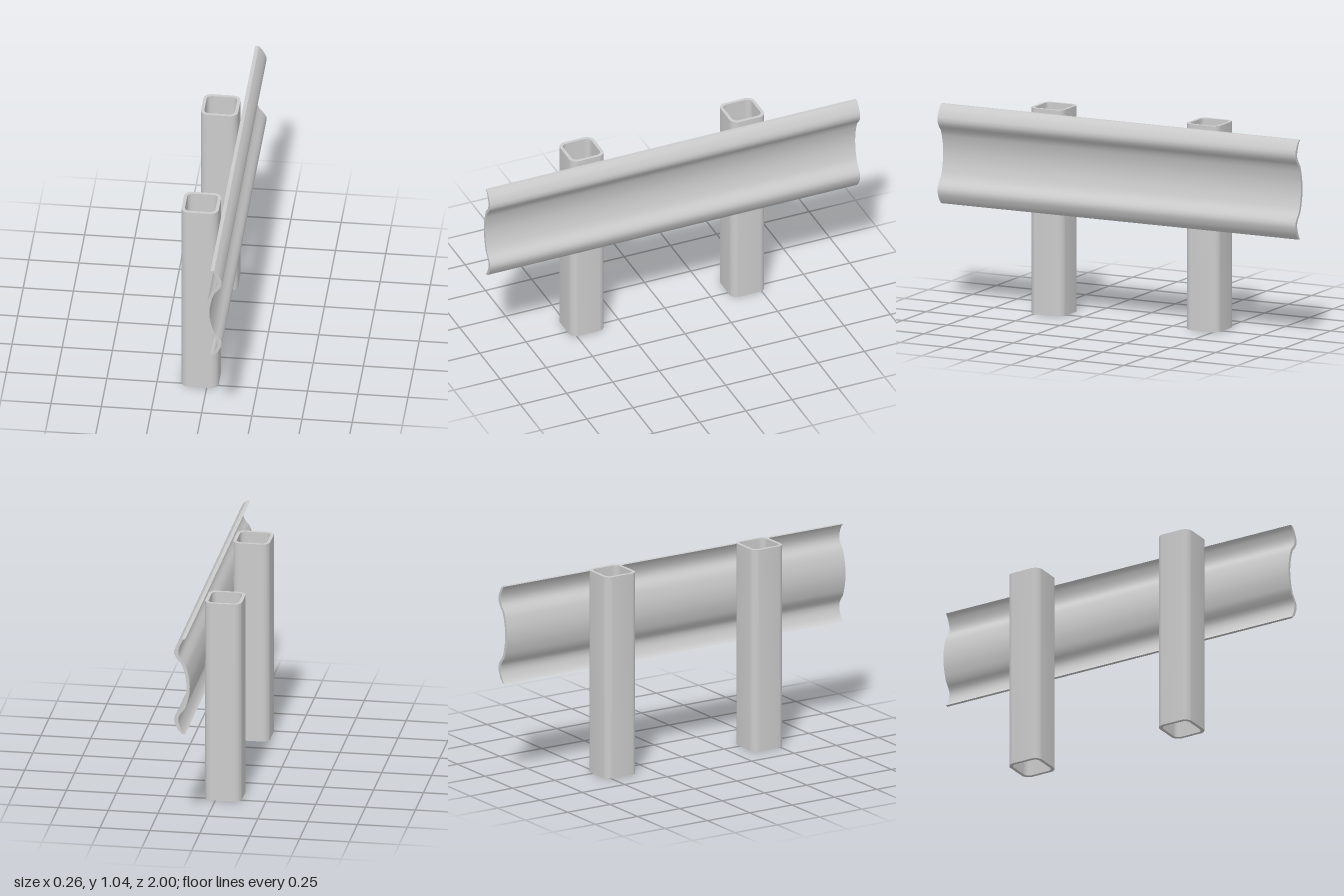
import * as THREE from 'three';
import { toCreasedNormals } from 'three/addons/utils/BufferGeometryUtils.js';

const material = new THREE.MeshStandardMaterial({ color: 0xcccccc });

// Rounded square outline centred on the origin
function roundedSquare(path, h, r) {
  path.moveTo(h, -h + r);
  path.lineTo(h, h - r);
  path.absarc(h - r, h - r, r, 0, Math.PI / 2);
  path.lineTo(-h + r, h);
  path.absarc(-h + r, h - r, r, Math.PI / 2, Math.PI);
  path.lineTo(-h, -h + r);
  path.absarc(-h + r, -h + r, r, Math.PI, Math.PI * 1.5);
  path.lineTo(h - r, -h);
  path.absarc(h - r, -h + r, r, Math.PI * 1.5, Math.PI * 2);
  return path;
}

function extrude(shape, depth) {
  const geometry = new THREE.ExtrudeGeometry(shape, { depth, bevelEnabled: false, curveSegments: 6 });
  return toCreasedNormals(geometry, 0.7);
}

// Hollow square tube standing on the ground
function postGeometry() {
  const shape = roundedSquare(new THREE.Shape(), 0.0925, 0.04);
  shape.holes.push(roundedSquare(new THREE.Path(), 0.076, 0.027));
  return extrude(shape, 1.04).rotateX(-Math.PI / 2);
}

// Upper half of a rail face, mirrored about its middle, listed top to bottom
function mirroredFace(half) {
  const upper = half.map(([x, y]) => new THREE.Vector2(x, y));
  const lower = half.slice(0, -1).reverse().map(([x, y]) => new THREE.Vector2(x, -y));
  return [...upper, ...lower];
}

// Corrugated W-section sheet running along z
function railGeometry() {
  const outer = mirroredFace([
    [0.09, 0.251], [0.11, 0.229], [0.12, 0.208], [0.128, 0.189], [0.128, 0.169], [0.12, 0.152],
    [0.109, 0.137], [0.092, 0.118], [0.081, 0.09], [0.073, 0.058], [0.068, 0.028], [0.067, 0],
  ]);
  const inner = mirroredFace([
    [0.072, 0.251], [0.084, 0.243], [0.094, 0.226], [0.102, 0.207], [0.107, 0.189], [0.107, 0.169],
    [0.101, 0.153], [0.091, 0.139], [0.074, 0.118], [0.064, 0.09], [0.056, 0.058], [0.051, 0.028], [0.05, 0],
  ]);
  const shape = new THREE.Shape([...outer, ...inner.reverse()]);
  return extrude(shape, 2).translate(0, 0.771, -1);
}

export function createModel() {
  const model = new THREE.Group();
  model.name = 'guardrail';

  const rail = new THREE.Mesh(railGeometry(), material);
  rail.name = 'rail';
  model.add(rail);

  // Pair of posts behind the rail
  const geometry = postGeometry();
  for (const side of [1, -1]) {
    const post = new THREE.Mesh(geometry, material);
    post.name = side > 0 ? 'frontPost' : 'backPost';
    post.position.set(-0.0365, 0, side * 0.434);
    model.add(post);
  }
  return model;
}
